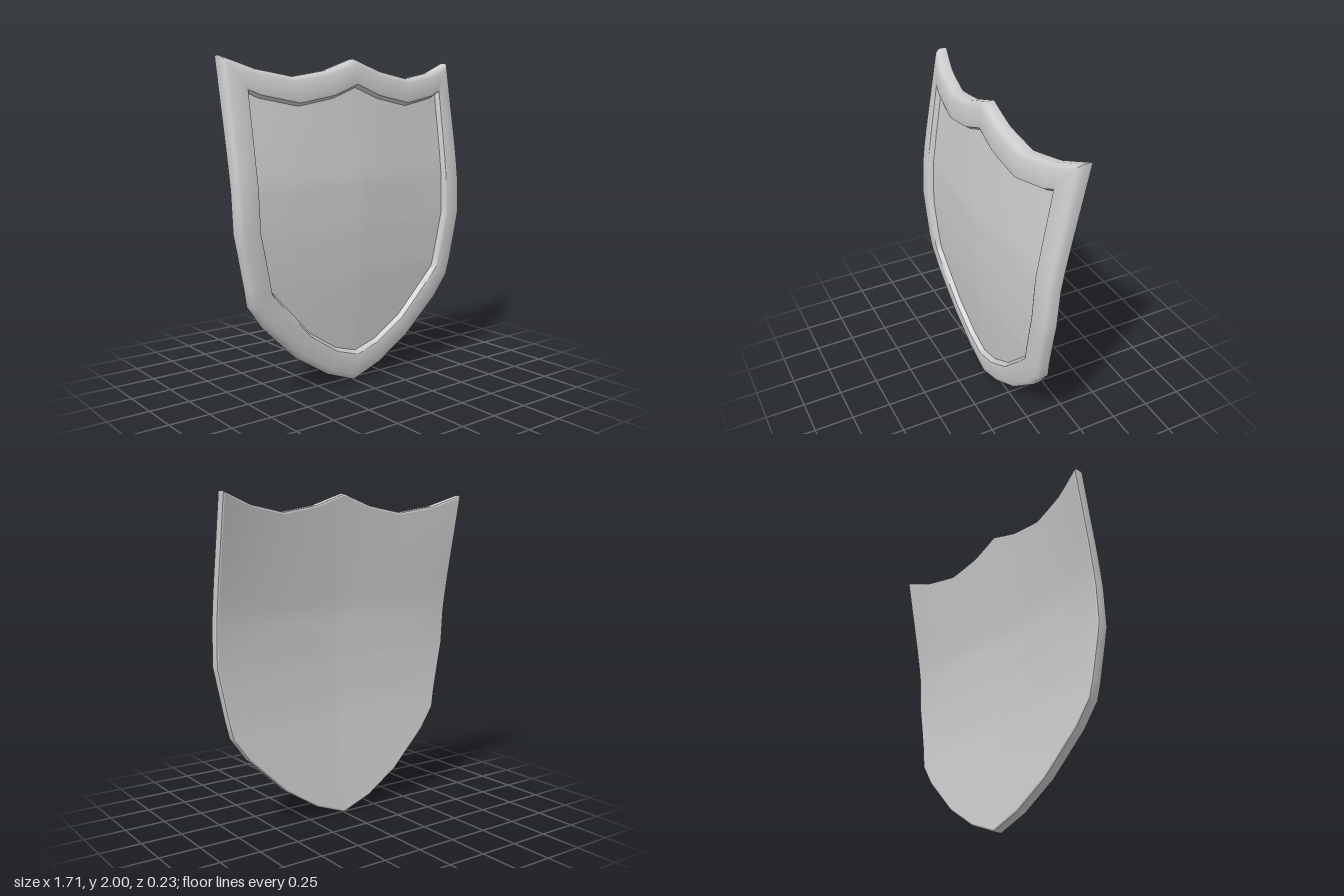
import * as THREE from 'three';
import { toCreasedNormals } from 'three/addons/utils/BufferGeometryUtils.js';

// Half outlines [x, y] from top centre, down the side, to the bottom tip
const OUTER = [[0, 2], [0.2, 1.93], [0.43, 1.89], [0.66, 1.93], [0.857, 2], [0.853, 1.5],
  [0.847, 1.02], [0.76, 0.59], [0.66, 0.45], [0.42, 0.22], [0.2, 0.08], [0, 0.005]];
const INNER = [[0, 1.85], [0.17, 1.785], [0.41, 1.74], [0.65, 1.785], [0.725, 1.815], [0.722, 1.4],
  [0.715, 1.02], [0.64, 0.66], [0.56, 0.57], [0.36, 0.36], [0.16, 0.23], [0, 0.18]];
const CENTRE = [0, 1.1];
const SUB = 4;

// Mirrored, subdivided closed outline
function outline(half) {
  const full = [...half, ...half.slice(1, -1).reverse().map(([x, y]) => [-x, y])];
  return full.flatMap((p, i) => {
    const q = full[(i + 1) % full.length];
    return Array.from({ length: SUB }, (_, k) => mix(p, q, k / SUB));
  });
}

function mix(p, q, t) {
  return [p[0] + (q[0] - p[0]) * t, p[1] + (q[1] - p[1]) * t];
}

// Piecewise linear lookup in [key, value] pairs
function lookup(table, v) {
  let i = 0;
  while (i < table.length - 2 && v > table[i + 1][0]) i++;
  const [a, b] = [table[i], table[i + 1]];
  return a[1] + (b[1] - a[1]) * (v - a[0]) / (b[0] - a[0]);
}

// Depth of the curved back: bulge along the middle, and drop towards the sides
const BULGE = [[0, -0.02], [0.18, 0], [0.45, 0.032], [0.7, 0.058], [1, 0.07], [1.28, 0.068], [1.75, 0.01], [2, -0.02]];
const DROP = [[0, 0.03], [0.6, 0.038], [1, 0.04], [1.5, 0.062], [2, 0.095]];
function backDepth(x, y) {
  const power = THREE.MathUtils.lerp(1.1, 2, THREE.MathUtils.smoothstep(y, 1, 2));
  return lookup(BULGE, y) - lookup(DROP, y) * Math.pow(Math.abs(x) / 0.85, power);
}

const outer = outline(OUTER);
const inner = outline(INNER);

// Ring between the outer (t = 0) and inner (t = 1) outlines, raised above the back
function rimRing(t, height) {
  return outer.map((p, i) => {
    const [x, y] = mix(p, inner[i], t);
    return [x, y, backDepth(x, y) + height];
  });
}

// Rings shrinking to the centre
function fillRings(t, height, steps) {
  return Array.from({ length: steps + 1 }, (_, s) => outer.map((p, i) => {
    const [x, y] = mix(mix(p, inner[i], t), CENTRE, s / steps);
    return [x, y, backDepth(x, y) + height];
  }));
}

// Skin a list of closed rings
function loft(name, rings, material, crease) {
  const n = rings[0].length;
  const index = [];
  const same = (r, j) => rings[r][j].every((v, k) => Math.abs(v - rings[r][(j + 1) % n][k]) < 1e-9);
  for (let r = 0; r < rings.length - 1; r++) {
    for (let j = 0; j < n; j++) {
      const k = (j + 1) % n;
      const a = r * n + j, b = r * n + k, c = a + n, d = b + n;
      if (!same(r, j)) index.push(a, d, b);
      if (!same(r + 1, j)) index.push(a, c, d);
    }
  }
  const geometry = new THREE.BufferGeometry();
  geometry.setAttribute('position', new THREE.Float32BufferAttribute(rings.flat(2), 3));
  geometry.setIndex(index);
  const mesh = new THREE.Mesh(toCreasedNormals(geometry, crease), material);
  mesh.name = name;
  return mesh;
}

export function createModel() {
  const material = new THREE.MeshStandardMaterial({ color: 0xcccccc });
  const shield = new THREE.Group();
  shield.name = 'shield';

  // Concave back
  shield.add(loft('back', fillRings(0.08, 0, 12).reverse(), material, 0.6));

  // Raised border with rounded outer edge and bevelled inner lip
  shield.add(loft('border', [
    rimRing(0.08, 0), rimRing(0.02, 0.005), rimRing(0, 0.015),
    rimRing(0, 0.055), rimRing(0.03, 0.067), rimRing(0.1, 0.078), rimRing(0.22, 0.084),
    rimRing(0.5, 0.086), rimRing(0.93, 0.086), rimRing(1, 0.082), rimRing(1.12, 0.05),
  ], material, 0.75));

  // Recessed front panel
  shield.add(loft('frontPanel', fillRings(1.12, 0.05, 12), material, 0.6));

  return shield;
}
